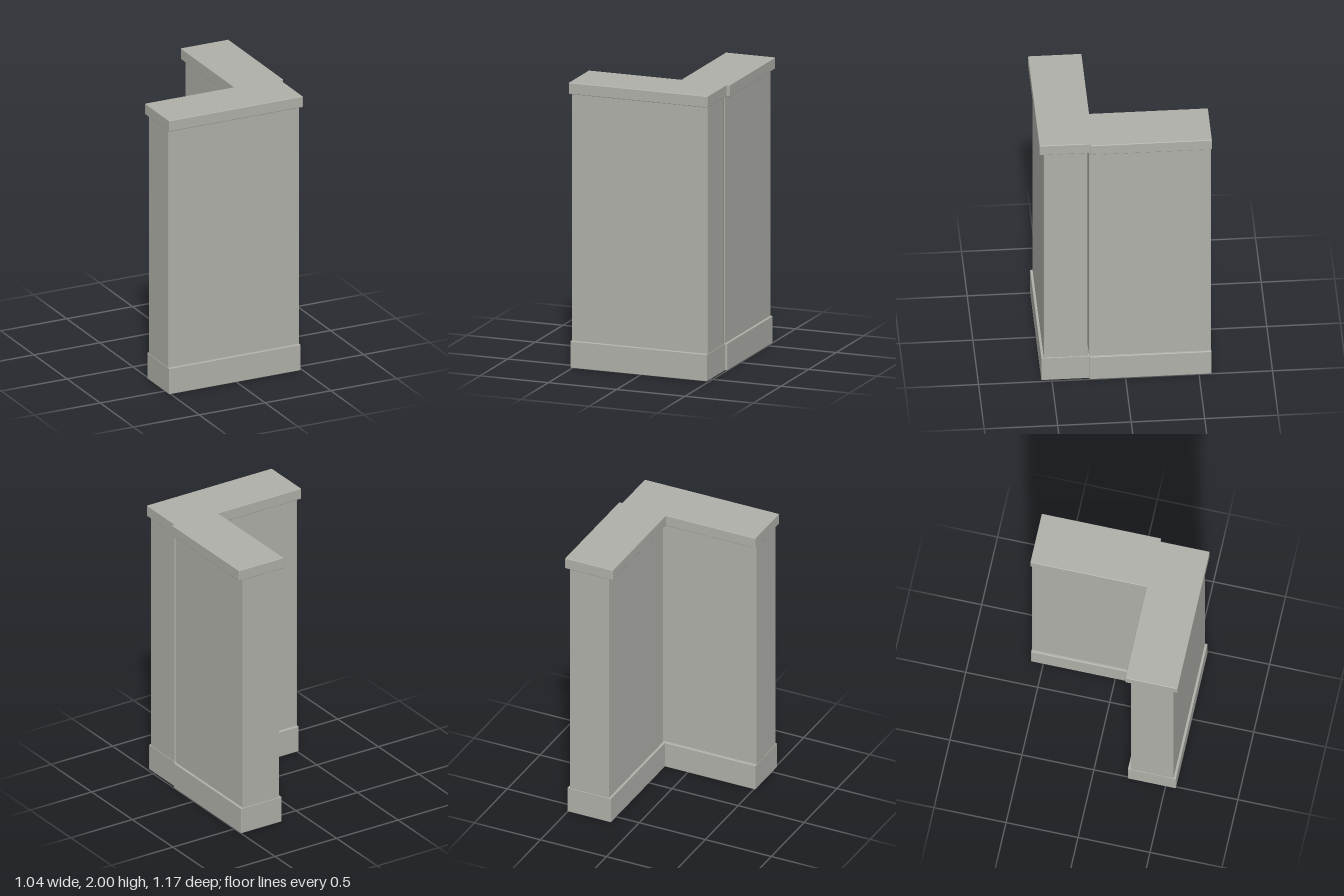
import * as THREE from 'three';
import { RoundedBoxGeometry } from 'three/addons/geometries/RoundedBoxGeometry.js';

const stone = new THREE.MeshStandardMaterial({ color: 0xb0b0aa });
stone.name = 'paleStone';

// Softly bevelled block given by its extents on each axis
function block(name, [x0, x1], [y0, y1], [z0, z1]) {
  const geometry = new RoundedBoxGeometry(x1 - x0, y1 - y0, z1 - z0, 2, 0.005);
  const mesh = new THREE.Mesh(geometry, stone);
  mesh.name = name;
  mesh.position.set((x0 + x1) / 2, (y0 + y1) / 2, (z0 + z1) / 2);
  return mesh;
}

// One wall: plinth, panel and overhanging coping, each with its x and z extents
function wall(name, plinth, panel, coping) {
  const group = new THREE.Group();
  group.name = name;
  group.add(
    block('plinth', plinth[0], [0, 0.19], plinth[1]),
    block('panel', panel[0], [0.185, 1.925], panel[1]),
    block('coping', coping[0], [1.92, 2], coping[1]),
  );
  return group;
}

export function createModel() {
  const model = new THREE.Group();
  model.name = 'cornerWall';
  model.add(
    // Wall across the front
    wall('frontWall',
      [[-0.512, 0.487], [0.238, 0.572]],
      [[-0.51, 0.485], [0.258, 0.555]],
      [[-0.52, 0.497], [0.221, 0.585]]),
    // Wall running back, with a narrow open joint between the two panels
    wall('sideWall',
      [[0.172, 0.502], [-0.585, 0.244]],
      [[0.189, 0.486], [-0.583, 0.247]],
      [[0.157, 0.52], [-0.587, 0.242]]),
  );
  return model;
}
